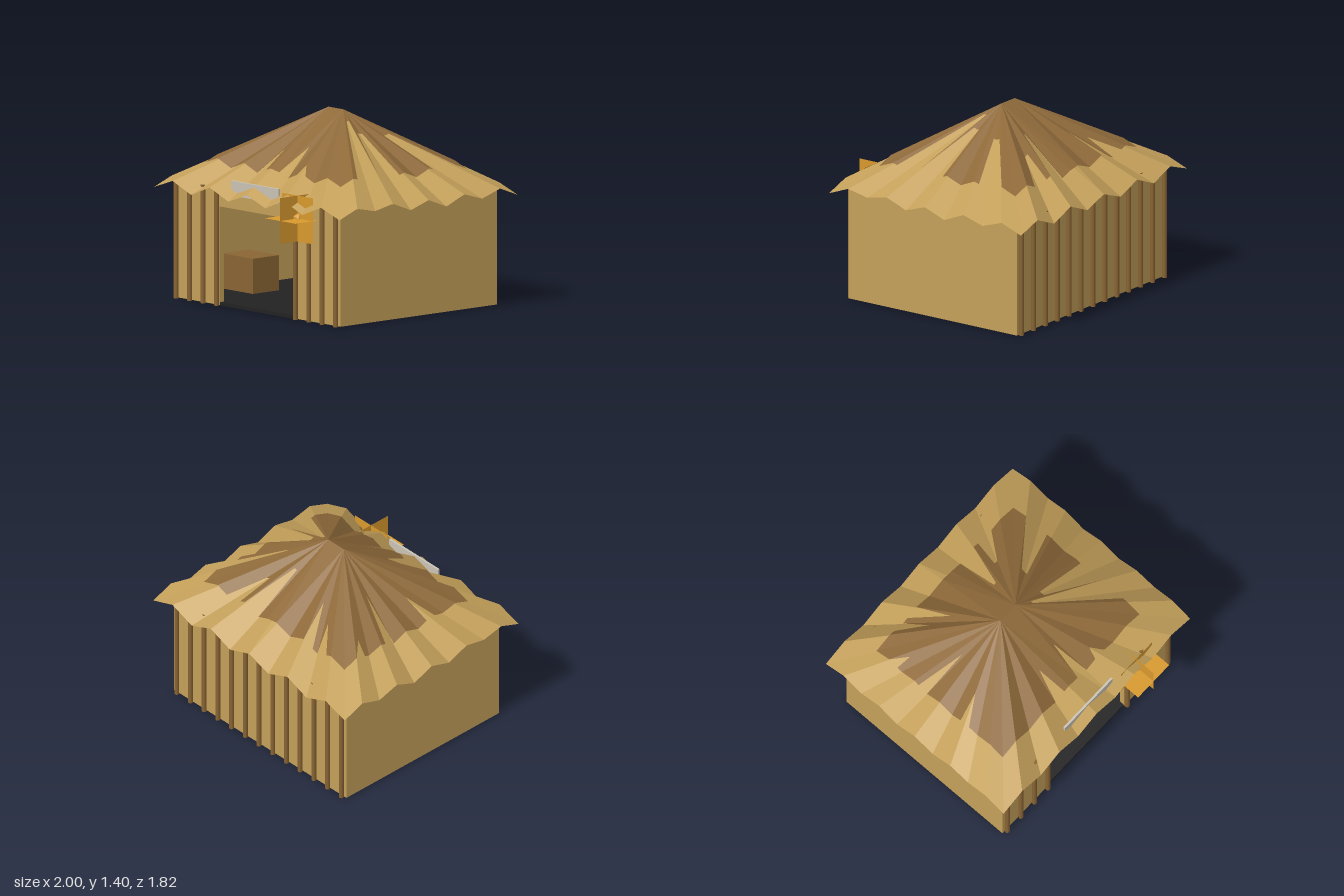
import * as THREE from 'three';

const mat = (name, color, side = THREE.FrontSide) => {
  const m = new THREE.MeshStandardMaterial({ color, side });
  m.name = name;
  return m;
};

export function createModel() {
  const hut = new THREE.Group();
  hut.name = 'thatchedHut';

  const tan = mat('tanWall', 0xc4a05a);
  const straw = mat('strawThatch', 0xc4a05a, THREE.DoubleSide);
  const brownThatch = mat('brownThatch', 0x8f6a3a, THREE.DoubleSide);
  const wood = mat('poleWood', 0x8a6534);
  const darkWood = mat('darkInterior', 0x5b3928);
  const black = mat('blackFloor', 0x222222);
  const orange = mat('orange', 0xd9992e, THREE.DoubleSide);
  const grey = mat('signGrey', 0xcbc4b6);

  const add = (name, geometry, material, x = 0, y = 0, z = 0) => {
    const mesh = new THREE.Mesh(geometry, material);
    mesh.name = name;
    mesh.position.set(x, y, z);
    hut.add(mesh);
    return mesh;
  };
  // Box given by its limits on each axis
  const block = (name, material, x0, x1, y0, y1, z0, z1) =>
    add(name, new THREE.BoxGeometry(x1 - x0, y1 - y0, z1 - z0), material,
      (x0 + x1) / 2, (y0 + y1) / 2, (z0 + z1) / 2);

  // Floor and walls
  block('floor', black, -0.87, 0.87, 0, 0.025, -0.77, 0.695);
  for (const s of [-1, 1]) {
    const [a, b] = s < 0 ? [-0.9, -0.86] : [0.86, 0.9];
    block('sideWall', tan, a, b, 0.005, 0.84, -0.8, 0.7);
    const [c, d] = s < 0 ? [-0.86, -0.405] : [0.405, 0.86];
    block('frontWall', tan, c, d, 0.005, 0.84, 0.66, 0.7);
  }
  block('backWall', tan, -0.86, 0.86, 0.005, 0.84, -0.8, -0.765);
  block('doorHeader', tan, -0.405, 0.405, 0.72, 0.84, 0.66, 0.7);
  block('innerBackPanel', darkWood, -0.86, 0.86, 0.025, 0.84, -0.765, -0.758);
  block('innerBox', wood, -0.85, -0.52, 0.025, 0.28, 0.03, 0.28);

  // Upright poles on the front and back walls
  const poleGeo = new THREE.CylinderGeometry(0.018, 0.018, 0.86, 8);
  for (const x of [0.425, 0.57, 0.715, 0.86]) {
    for (const s of [-1, 1]) add('frontPole', poleGeo, wood, s * x, 0.43, 0.712);
  }
  for (let i = 0; i < 13; i++) add('backPole', poleGeo, wood, -0.86 + i * 0.1433, 0.43, -0.812);

  // Folded eave line, counter-clockwise from the front right-hand corner
  const zFront = 0.8, zBack = -0.91, zRidge = -0.055;
  const frontY = [0.8, 0.867, 0.79, 0.868, 0.79, 0.86, 0.79, 0.868, 0.79, 0.867, 0.8];
  const sideY = [0.8, 0.865, 0.83, 0.865, 0.8, 0.855, 0.79, 0.86, 0.81, 0.865, 0.8];
  const sides = [
    { ys: frontY, at: (u, y) => new THREE.Vector3(-1 + 2 * u, y, zFront) },
    { ys: sideY, at: (u, y) => new THREE.Vector3(1, y, zFront + (zBack - zFront) * u) },
    { ys: frontY, at: (u, y) => new THREE.Vector3(1 - 2 * u, y, zBack) },
    { ys: [...sideY].reverse(), at: (u, y) => new THREE.Vector3(-1, y, zBack + (zFront - zBack) * u) },
  ];

  // Notches in the upper thatch: side, start, end along x or z, and how far down the slope they begin
  const notches = [
    [0, -0.16, -0.1, 0.46], [0, 0.1, 0.16, 0.4], [0, 0.38, 0.42, 0.62],
    [1, 0.32, 0.53, 0.12], [1, 0.03, 0.25, 0.25], [1, -0.7, -0.48, 0.3],
    [2, 0.25, 0.36, 0.3], [2, 0.52, 0.62, 0.45], [2, -0.48, -0.44, 0.4], [2, -0.68, -0.64, 0.5],
    [3, -0.31, -0.26, 0.35], [3, 0.26, 0.31, 0.5], [3, -0.72, -0.66, 0.6],
  ];

  // Fan of facets from the short ridge to the eave, cut short by reach()
  function thatch(sub, apexY, lift, reach) {
    const pts = [];
    sides.forEach((side, k) => {
      const n = (side.ys.length - 1) * sub;
      for (let i = 0; i < n; i++) {
        const j = Math.floor(i / sub), f = (i % sub) / sub;
        const p = side.at(i / n, side.ys[j] * (1 - f) + side.ys[j + 1] * f);
        const apex = new THREE.Vector3(p.x > 0.01 ? 0.08 : -0.08, apexY, zRidge);
        const end = apex.clone().lerp(p, reach(k, k % 2 ? p.z : p.x));
        end.y += lift;
        apex.y += lift;
        pts.push({ apex, end });
      }
    });
    const tris = [];
    pts.forEach((a, i) => {
      const b = pts[(i + 1) % pts.length];
      tris.push(a.apex, a.end, b.end);
      if (a.apex.x !== b.apex.x) tris.push(a.apex, b.end, b.apex);
    });
    const geometry = new THREE.BufferGeometry().setFromPoints(tris);
    geometry.computeVertexNormals();
    return geometry;
  }
  add('lowerThatch', thatch(1, 1.39, 0, () => 1), straw);
  add('upperThatch', thatch(3, 1.39, 0.012, (k, c) => {
    const cut = notches.find(([s, a, b]) => s === k && c >= a && c <= b);
    return cut ? cut[3] : 0.71;
  }), brownThatch);

  // Blank sign board at the eave
  block('signBoard', grey, -0.255, 0.255, 0.82, 0.928, 0.708, 0.724);

  // Star lantern: three crossing square plates with a faceted core
  const lantern = new THREE.Group();
  lantern.name = 'starLantern';
  lantern.position.set(0.485, 0.745, 0.745);
  const plate = new THREE.PlaneGeometry(0.333, 0.333);
  for (const [rx, ry] of [[0, 0], [0, Math.PI / 2], [-Math.PI / 2, 0]]) {
    const m = new THREE.Mesh(plate, orange);
    m.name = 'lanternPlate';
    m.rotation.set(rx, ry, 0);
    lantern.add(m);
  }
  const core = new THREE.Mesh(new THREE.IcosahedronGeometry(0.042, 0), orange);
  core.name = 'lanternCore';
  lantern.add(core);
  hut.add(lantern);

  return hut;
}
